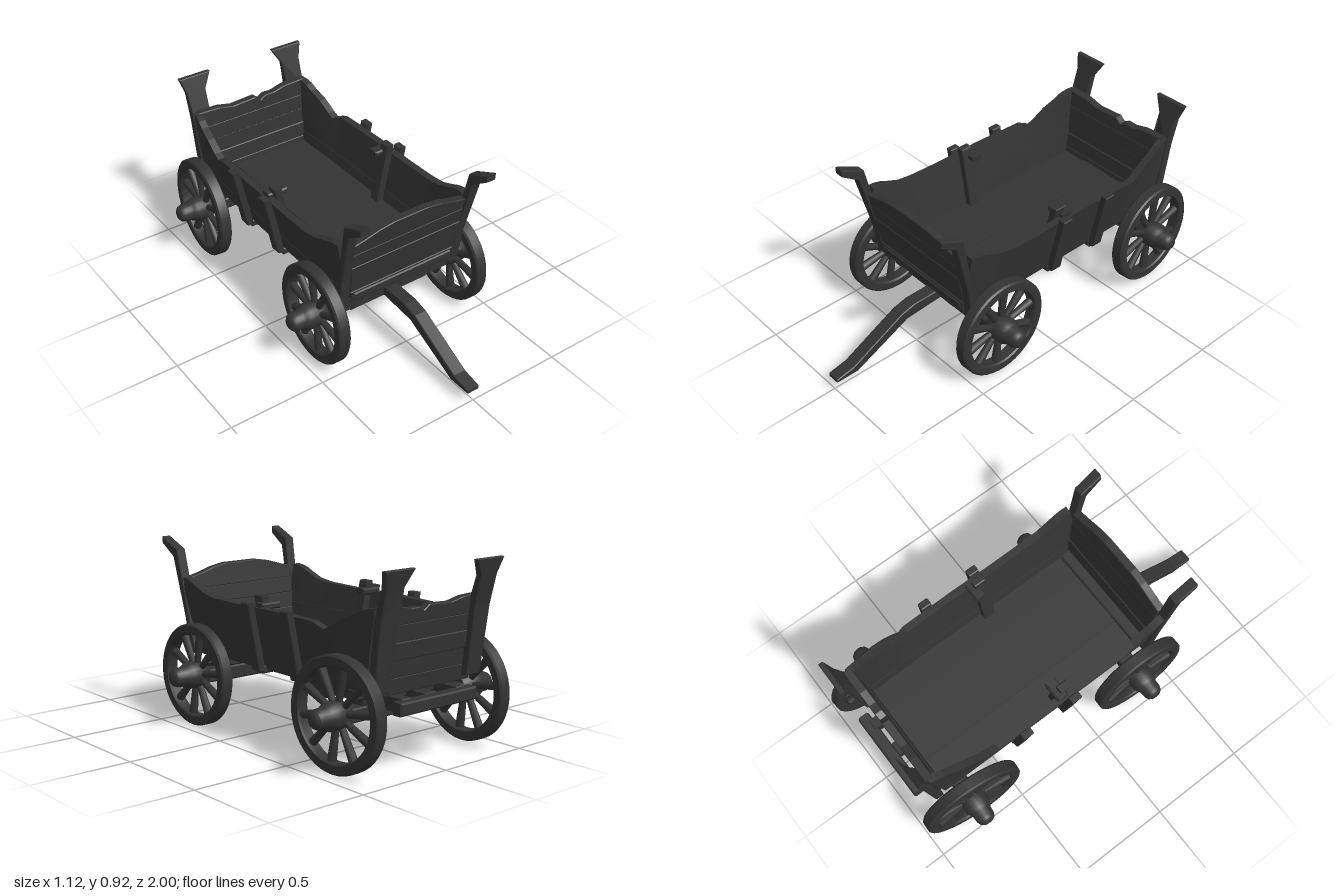
import * as THREE from 'three';
import { toCreasedNormals } from 'three/addons/utils/BufferGeometryUtils.js';

const wood = new THREE.MeshStandardMaterial({ color: 0x333333 });
wood.name = 'dark wood';

export function createModel() {
  const root = new THREE.Group();
  root.name = 'wagon';

  const add = (geo, name, parent = root) => {
    const m = new THREE.Mesh(geo, wood);
    m.name = name;
    parent.add(m);
    return m;
  };
  let seed = 7;
  const jitter = (a) => {
    seed = (seed * 16807) % 2147483647;
    return (seed / 2147483647 - 0.5) * 2 * a;
  };

  // Bevelled slab cut from a 2D outline, centred on its thickness
  const slab = (pts, thick, bevel = 0.004) => {
    const inner = thick - 2 * bevel;
    const g = new THREE.ExtrudeGeometry(
      new THREE.Shape(pts.map((p) => new THREE.Vector2(p[0], p[1]))),
      { depth: inner, bevelEnabled: true, bevelSize: bevel, bevelOffset: -bevel, bevelThickness: bevel, bevelSegments: 1 });
    return g.translate(0, 0, -inner / 2);
  };
  // Move every vertex by a rule
  const bend = (g, rule) => {
    const p = g.attributes.position;
    const v = new THREE.Vector3();
    for (let i = 0; i < p.count; i++) {
      rule(v.fromBufferAttribute(p, i));
      p.setXYZ(i, v.x, v.y, v.z);
    }
    g.computeVertexNormals();
    return g;
  };
  // Box given by its ranges
  const beam = (name, x0, x1, y0, y1, z0, z1) => {
    const g = slab([[x0, y0], [x1, y0], [x1, y1], [x0, y1]], z1 - z0, 0.007);
    return add(g.translate(0, 0, (z0 + z1) / 2), name);
  };
  // Outline in (z, y), leaning outwards on side s
  const sideSlab = (name, pts, thick, s, x, lean = 0.2) => {
    const g = slab(pts, thick).rotateY(-Math.PI / 2);
    return add(bend(g, (v) => { v.x += s * (x + (v.y - 0.36) * lean); }), name);
  };
  // Outline in (x, y), with depth following the height and an optional thinning
  const endSlab = (name, pts, thick, zAt, thin = () => 1) =>
    add(bend(slab(pts, thick), (v) => { v.z = v.z * thin(v.y) + zAt(v.y); }), name);

  // Wheels: rim, ten spokes and a long hub
  const wheel = (name, s, z, y, r, toe) => {
    const w = new THREE.Group();
    w.name = name;
    w.position.set(s * 0.407, y, z);
    w.rotation.set(0, s > 0 ? toe : Math.PI - toe, 0.012);
    const turn = (pts, seg) => toCreasedNormals(
      new THREE.LatheGeometry(pts.map((p) => new THREE.Vector2(p[0], p[1])), seg).rotateZ(-Math.PI / 2), 0.6);
    const ri = r - 0.052;
    add(turn([[r - 0.008, -0.032], [r, -0.024], [r, 0.024], [r - 0.008, 0.032], [ri + 0.006, 0.032],
      [ri, 0.024], [ri, -0.024], [ri + 0.006, -0.032], [r - 0.008, -0.032]], 44), 'rim', w);
    add(turn([[0, -0.05], [0.048, -0.05], [0.058, -0.03], [0.066, 0], [0.066, 0.055], [0.056, 0.075],
      [0.049, 0.09], [0.048, 0.12], [0.04, 0.14], [0.025, 0.151], [0, 0.154]], 20), 'hub', w);
    for (let i = 0; i < 10; i++) {
      const g = new THREE.CylinderGeometry(0.022, 0.015, ri - 0.03, 8);
      g.translate(0, 0.04 + (ri - 0.03) / 2, 0).rotateX(s * (i - 0.22) * Math.PI / 5);
      add(g, 'spoke', w);
    }
    root.add(w);
  };
  for (const s of [1, -1]) {
    wheel('frontWheel', s, 0.312, 0.257, 0.255, 0.02);
    wheel('rearWheel', s, -0.735, 0.272, 0.266, 0.065);
  }

  // Axles and bolsters
  for (const [z, y] of [[0.312, 0.245], [-0.735, 0.262]]) {
    beam('axle', -0.38, 0.38, y - 0.033, y + 0.033, z - 0.04, z + 0.04);
    beam('axleBlock', -0.23, 0.23, y - 0.035, y + 0.036, z - 0.045, z + 0.045);
    beam('bolster', -0.295, 0.295, y + 0.036, y + 0.08, z - 0.045, z + 0.045);
  }

  // Running gear under the floor
  beam('reachPole', -0.035, 0.035, 0.28, 0.335, -0.9, -0.2);
  for (const s of [1, -1]) {
    const x = s * 0.2;
    beam('sill', x - 0.025, x + 0.025, 0.325, 0.37, -0.82, 0.44);
    const h = s * 0.17;
    beam('hound', h - 0.028, h + 0.028, 0.275, 0.34, -0.92, -0.2);
  }
  beam('rearCrossbar', -0.24, 0.24, 0.275, 0.335, -0.955, -0.895);
  beam('frontCrossbar', -0.31, 0.31, 0.335, 0.38, 0.35, 0.44);
  for (const z of [-0.1, -0.39, -0.75]) beam('floorJoist', -0.335, 0.335, 0.33, 0.37, z - 0.035, z + 0.035);

  // Floor planks
  for (let i = 0; i < 4; i++) {
    const x = -0.3 + i * 0.15;
    const top = 0.395 + jitter(0.003);
    beam('floorPlank', x - 0.002, x + 0.152, 0.36, top, -0.83, 0.42);
  }

  // Side walls: planks that lean out, draw in towards both ends, and rise at the worn top edge
  const zf = (y) => 0.415 + (y - 0.36) * 0.2;
  const zr = (y) => -0.825 - (y - 0.36) * 0.16;
  const taper = (y, z) => {
    const rear = Math.max(0, -0.55 - z) / 0.33 * 0.062;
    const front = Math.max(0, z - 0.2) / 0.28 * 0.025;
    return (rear + front) * Math.max(0, y - 0.36) / 0.37;
  };
  const crestLine = [[-0.885, 0.748], [-0.83, 0.742], [-0.78, 0.71], [-0.7, 0.675], [-0.66, 0.645], [-0.61, 0.622], [-0.55, 0.65],
    [-0.25, 0.657], [0, 0.653], [0.2, 0.656], [0.28, 0.668], [0.36, 0.7], [0.4, 0.72], [0.48, 0.73]];
  const crest = (z) => {
    const i = Math.max(1, crestLine.findIndex((p) => p[0] >= z));
    const [a, b] = [crestLine[i - 1], crestLine[i]];
    return THREE.MathUtils.mapLinear(z, a[0], b[0], a[1], b[1]);
  };
  const sidePlank = (name, s, y0, topAt, thick, x) => {
    const g = new THREE.BoxGeometry(thick, 1, 1, 1, 1, 40).toNonIndexed();
    add(bend(g, (v) => {
      const u = v.z + 0.5;
      const flatTop = THREE.MathUtils.lerp(zr(0.74), zf(0.72), u);
      const y = v.y > 0 ? topAt(flatTop) : y0;
      const z = THREE.MathUtils.lerp(zr(y), zf(y), u);
      v.set(v.x + s * (x + (y - 0.36) * 0.21 - taper(y, z)), y, z);
    }), name);
  };
  const rows = [0.37, 0.45, 0.53, 0.6];
  for (const s of [1, -1]) {
    for (let i = 0; i < 3; i++) {
      sidePlank('sidePlank', s, rows[i], () => rows[i + 1], 0.036 + jitter(0.004), 0.305 + jitter(0.003));
    }
    sidePlank('sideTopPlank', s, 0.6, crest, 0.038, 0.305);
    // Bottom rail along the wall
    sideSlab('sideRail', [[-0.8, 0.345], [0.42, 0.345], [0.42, 0.385], [-0.8, 0.385]], 0.045, s, 0.295);
    // Outer stakes
    for (const z of [-0.105, -0.39]) {
      sideSlab('stake', [[z - 0.03, 0.345], [z + 0.03, 0.345], [z + 0.028, 0.677], [z - 0.028, 0.677]], 0.038, s, 0.344);
    }
    // Inner stake and the clasp over the rim
    sideSlab('innerStake', [[-0.15, 0.39], [-0.09, 0.39], [-0.09, 0.708], [-0.15, 0.708]], 0.04, s, 0.268);
    beam('clasp', Math.min(s * 0.265, s * 0.375), Math.max(s * 0.265, s * 0.375), 0.645, 0.676, -0.18, -0.12);

    // Front corner posts with a forward kick
    sideSlab('frontPost', [[0.39, 0.34], [0.44, 0.34], [0.465, 0.52], [0.54, 0.82], [0.63, 0.88], [0.63, 0.915],
      [0.505, 0.86], [0.43, 0.5]], 0.052, s, 0.33, 0.05);
    // Rear corner posts, flared and thinned at the head
    const head = [[0.245, 0.37], [0.335, 0.37], [0.342, 0.7], [0.345, 0.84], [0.37, 0.918],
      [0.192, 0.918], [0.238, 0.84], [0.24, 0.7]];
    endSlab('rearPost', head.map(([x, y]) => [s * x, y]), 0.045,
      (y) => -0.868 - (y - 0.4) * 0.13 - Math.max(0, y - 0.7) * 0.15,
      (y) => 1 - Math.max(0, y - 0.7) * 2);
  }

  // Front and rear panels
  const panel = (name, zAt, outline) => {
    const half = (y) => 0.3 + (y - 0.36) * 0.08;
    const ys = [0.345, 0.42, 0.5, 0.58, 0.66];
    for (let i = 0; i < 4; i++) {
      const a = ys[i], b = ys[i + 1] + 0.003;
      const off = jitter(0.004);
      endSlab(name + 'Plank', [[-half(a), a], [half(a), a], [half(b), b], [-half(b), b]], 0.04, (y) => zAt(y) + off);
    }
    endSlab(name + 'TopPlank', [[-0.322, 0.66], [0.322, 0.66], ...outline], 0.042, zAt);
  };
  panel('front', (y) => 0.425 + (y - 0.36) * 0.15,
    [[0.325, 0.72], [0.26, 0.735], [0.18, 0.758], [0.1, 0.771], [-0.1, 0.771], [-0.18, 0.758], [-0.26, 0.735], [-0.325, 0.72]]);
  panel('rear', (y) => -0.835 - (y - 0.36) * 0.12,
    [[0.325, 0.75], [0.2, 0.745], [0.13, 0.728], [0.08, 0.73], [0.05, 0.712], [0.02, 0.735], [-0.12, 0.728], [-0.2, 0.745], [-0.325, 0.75]]);
  beam('frontLedge', -0.29, 0.29, 0.375, 0.412, 0.36, 0.46);

  // Bent tongue
  const tongue = slab([[0.3, 0.225], [0.57, 0.205], [0.88, 0.06], [1, 0.06], [1, 0.078], [0.9, 0.098],
    [0.6, 0.252], [0.52, 0.272], [0.3, 0.275]], 0.07).rotateY(-Math.PI / 2);
  add(tongue.translate(-0.004, 0, 0), 'tongue');

  return root;
}
